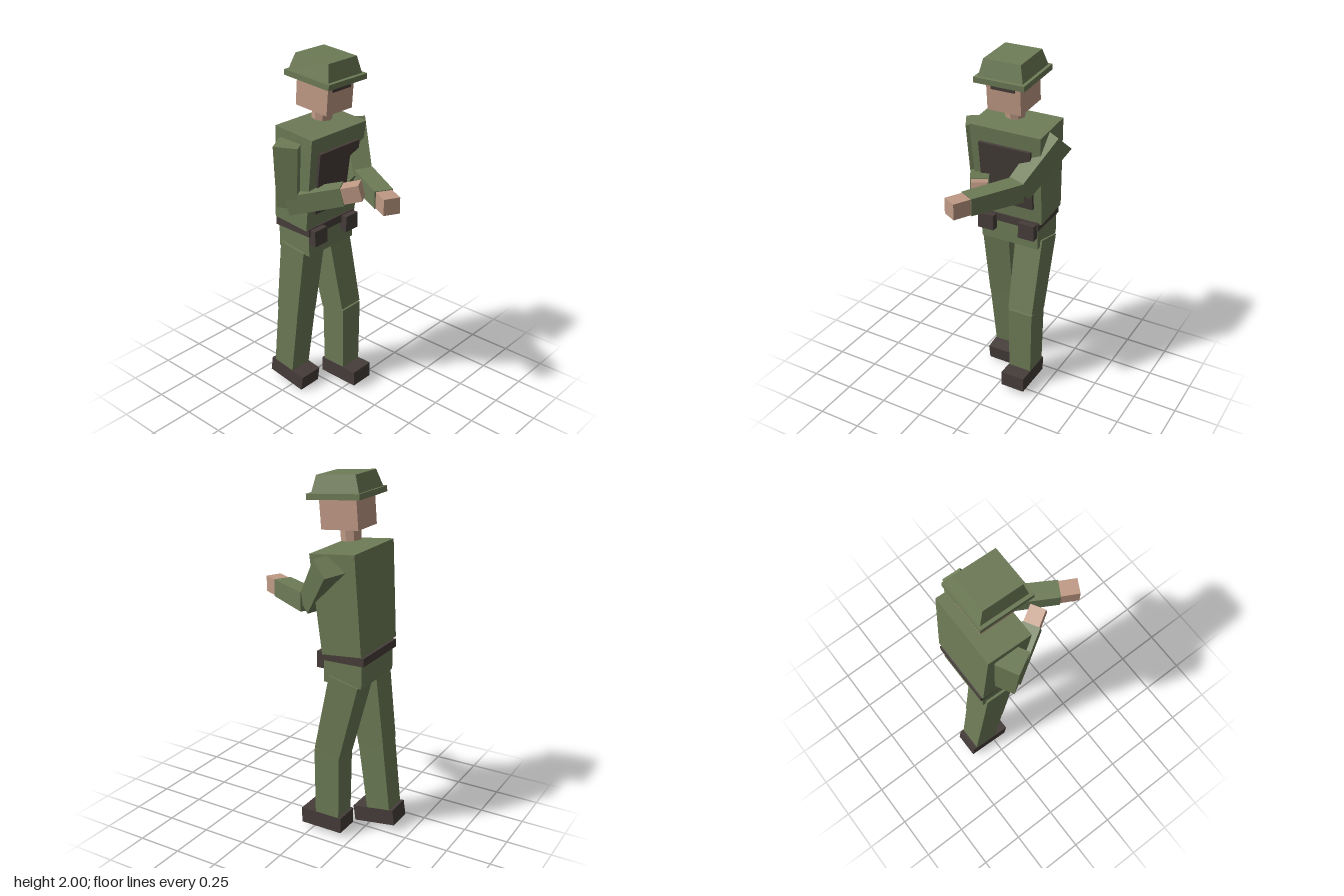
import * as THREE from 'three';

const mat = (name, color) => {
  const m = new THREE.MeshStandardMaterial({ color });
  m.name = name;
  return m;
};

// Box whose top (w0 x d0) and bottom (w1 x d1) differ in size
function taperedBox(w0, d0, w1, d1, h) {
  const g = new THREE.BoxGeometry(1, h, 1);
  const p = g.attributes.position;
  for (let i = 0; i < p.count; i++) {
    const top = p.getY(i) > 0;
    p.setX(i, p.getX(i) * (top ? w0 : w1));
    p.setZ(i, p.getZ(i) * (top ? d0 : d1));
  }
  g.computeVertexNormals();
  return g;
}

export function createModel() {
  const green = mat('uniform green', 0x6d7b56);
  const skin = mat('skin', 0xc09a85);
  const dark = mat('dark leather', 0x463d3a);

  const model = new THREE.Group();
  model.name = 'soldier';

  const add = (name, geometry, material, pos, pitch = 0, parent = model) => {
    const m = new THREE.Mesh(geometry, material);
    m.name = name;
    m.position.set(...pos);
    m.rotation.x = pitch;
    parent.add(m);
    return m;
  };

  // Tapered box running from a to b; side is the direction of its width
  const limb = (name, material, a, b, [w0, d0], [w1, d1], side = [1, 0, 0]) => {
    const A = new THREE.Vector3(...a), B = new THREE.Vector3(...b);
    const y = A.clone().sub(B), h = y.length();
    y.normalize();
    const x = new THREE.Vector3(...side);
    x.addScaledVector(y, -x.dot(y)).normalize();
    const z = x.clone().cross(y);
    const m = add(name, taperedBox(w0, d0, w1, d1, h), material, A.add(B).multiplyScalar(0.5).toArray());
    m.quaternion.setFromRotationMatrix(new THREE.Matrix4().makeBasis(x, y, z));
  };

  // Head, neck and helmet share one slight nod
  const head = new THREE.Group();
  head.name = 'head';
  head.position.set(0.004, 1.8, -0.122);
  head.rotation.x = 0.085;
  model.add(head);
  add('face', new THREE.BoxGeometry(0.195, 0.17, 0.215), skin, [0, 0, 0], 0, head);
  add('neck', new THREE.CylinderGeometry(0.055, 0.055, 0.08, 8).toNonIndexed(), skin, [0, -0.11, -0.008], 0, head)
    .geometry.computeVertexNormals();
  add('eyeBand', new THREE.BoxGeometry(0.135, 0.028, 0.02), dark, [0, 0.05, 0.105], 0, head);
  add('helmetBrim', new THREE.BoxGeometry(0.29, 0.03, 0.305), green, [0, 0.088, 0], 0, head);
  add('helmetCrown', taperedBox(0.212, 0.225, 0.255, 0.275, 0.09), green, [0, 0.146, -0.004], 0, head);

  // Torso, chest plate, belt and hips
  limb('torso', green, [0.005, 1.618, -0.149], [0.005, 1.088, -0.2], [0.42, 0.26], [0.39, 0.23]);
  add('chestPlate', new THREE.BoxGeometry(0.307, 0.35, 0.03), dark, [0.005, 1.345, -0.051], 0.123);
  add('belt', new THREE.BoxGeometry(0.365, 0.045, 0.245), dark, [0.003, 1.065, -0.198], 0.02);
  add('hips', new THREE.BoxGeometry(0.35, 0.14, 0.222), green, [0.004, 0.988, -0.196]);
  for (const s of [-1, 1])
    add('beltPouch', new THREE.BoxGeometry(0.096, 0.09, 0.06), dark, [0.003 + s * 0.125, 1.035, -0.07]);

  // Left leg steps forward
  limb('leftThigh', green, [0.107, 0.94, -0.205], [0.107, 0.5, -0.102], [0.165, 0.175], [0.152, 0.155]);
  limb('leftShin', green, [0.108, 0.51, -0.1], [0.109, 0.11, -0.101], [0.148, 0.152], [0.138, 0.145]);
  add('leftBoot', new THREE.BoxGeometry(0.144, 0.09, 0.25), dark, [0.108, 0.075, -0.064]);

  // Right leg trails behind on its toe
  limb('rightThigh', green, [-0.102, 0.94, -0.2], [-0.102, 0.5, -0.26], [0.165, 0.172], [0.152, 0.155]);
  limb('rightShin', green, [-0.102, 0.51, -0.258], [-0.1, 0.1, -0.313], [0.148, 0.152], [0.138, 0.14]);
  add('rightBoot', new THREE.BoxGeometry(0.144, 0.09, 0.25), dark, [-0.101, 0.067, -0.285], 0.15);

  // Left arm reaches down, then forward across the body
  const leftSide = [0.88, -0.1, 0.47];
  limb('leftUpperArm', green, [0.245, 1.567, -0.158], [0.114, 1.314, 0.028], [0.13, 0.122], [0.108, 0.105], leftSide);
  limb('leftForearm', green, [0.125, 1.328, 0.037], [-0.027, 1.327, 0.305], [0.106, 0.104], [0.1, 0.095], [0.87, 0, 0.49]);
  limb('leftHand', skin, [-0.024, 1.327, 0.3], [-0.074, 1.327, 0.395], [0.088, 0.088], [0.088, 0.088], [0.87, 0, 0.49]);

  // Right arm hangs, with the forearm raised inward
  const rightSide = [0.87, 0, -0.49];
  limb('rightUpperArm', green, [-0.233, 1.57, -0.158], [-0.224, 1.225, -0.172], [0.13, 0.13], [0.108, 0.108], rightSide);
  limb('rightForearm', green, [-0.228, 1.235, -0.168], [-0.083, 1.31, 0.085], [0.106, 0.106], [0.1, 0.1], rightSide);
  limb('rightHand', skin, [-0.085, 1.309, 0.08], [-0.035, 1.336, 0.166], [0.088, 0.088], [0.086, 0.088], rightSide);

  return model;
}
